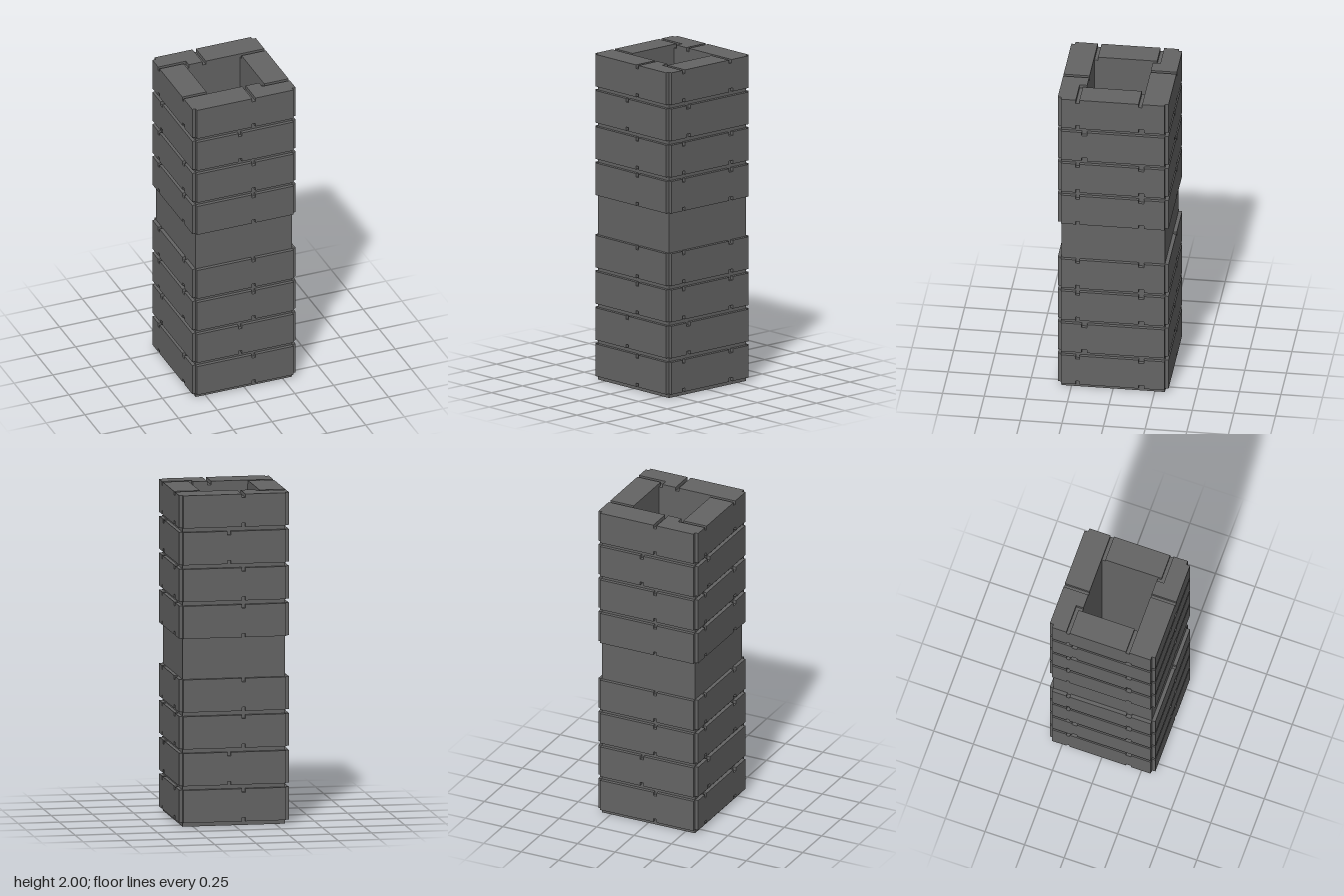
import * as THREE from 'three';

const OUT = 0.333, CORE = 0.311, HOLE = 0.177;
const PITCH = 2 / 9, JOINT = 0.025, GROOVE = 0.022;

const stone = new THREE.MeshStandardMaterial({ color: 0x646464 });
stone.name = 'darkStone';

// Plan points are [x, z]; the prism rises from y0 to y1.
function prism(name, points, y0, y1, hole) {
  const toVec = ([x, z]) => new THREE.Vector2(x, -z);
  const shape = new THREE.Shape(points.map(toVec));
  if (hole) shape.holes.push(new THREE.Path(hole.map(toVec)));
  const geo = new THREE.ExtrudeGeometry(shape, { depth: y1 - y0, bevelEnabled: false });
  geo.rotateX(-Math.PI / 2);
  geo.translate(0, y0, 0);
  const mesh = new THREE.Mesh(geo, stone);
  mesh.name = name;
  return mesh;
}

// Corner order keeps the walls of a hole facing inwards.
const square = (s) => [[-s, -s], [-s, s], [s, s], [s, -s]];

// Notched outer corner in the quadrant given by the signs, from the x side to the z side.
const corner = (sx, sz) => [[sx * OUT, sz * CORE], [sx * CORE, sz * CORE], [sx * CORE, sz * OUT]];

// Course outline: four faces standing proud of the core.
const outline = [
  ...corner(1, 1), ...corner(-1, 1).reverse(),
  ...corner(-1, -1), ...corner(1, -1).reverse(),
];

// Half of the blocks in each bond; the rest are the same turned by 180 degrees.
const bondA = [
  [[HOLE, -0.155], [OUT, -0.155], [OUT, 0.2], [HOLE, 0.2]],
  [[0.066, HOLE], [0.154, HOLE], [0.154, 0.222], [OUT, 0.222], ...corner(1, 1), [0.066, OUT]],
  [[-0.044, -HOLE], [OUT, -HOLE], ...corner(1, -1), [-0.044, -OUT]],
];
const bondB = [
  [[-0.022, HOLE], [OUT, HOLE], ...corner(1, 1), [-0.022, OUT]],
  [[HOLE, 0.155], [OUT, 0.155], ...corner(1, -1), [0.044, -OUT], [0.044, -HOLE], [HOLE, -HOLE]],
];

// One course: a facing around the core, split by grooves along its lower and upper edges.
function course(bond, y0, y1) {
  const group = new THREE.Group();
  group.name = 'blockCourse';
  group.add(prism('courseFacing', outline, y0 + GROOVE, y1 - GROOVE, square(CORE)));
  for (const [a, b, name] of [[y0, y0 + GROOVE, 'blockUnderside'], [y1 - GROOVE, y1, 'blockTop']]) {
    for (const points of bond) {
      for (const s of [1, -1]) {
        // Blocks below the top bed are set into the core, clear of the shaft wall.
        const inset = b < 1.99 ? 0.01 : 0;
        const place = (v) => s * (Math.abs(v) === HOLE ? v + Math.sign(v) * inset : v);
        group.add(prism(name, points.map(([x, z]) => [place(x), place(z)]), a, b));
      }
    }
  }
  return group;
}

export function createModel() {
  const model = new THREE.Group();
  model.name = 'hollowBlockColumn';

  // Recessed hollow core, showing in the joints, the grooves and the bare middle band.
  model.add(prism('hollowCore', square(CORE), 0, 2 - GROOVE, square(HOLE)));

  // Four courses below and four above the bare band.
  const bonds = [bondA, bondB, bondA, bondA, null, bondA, bondA, bondB, bondA];
  bonds.forEach((bond, i) => {
    if (bond) model.add(course(bond, i * PITCH + JOINT, (i + 1) * PITCH));
  });
  return model;
}
